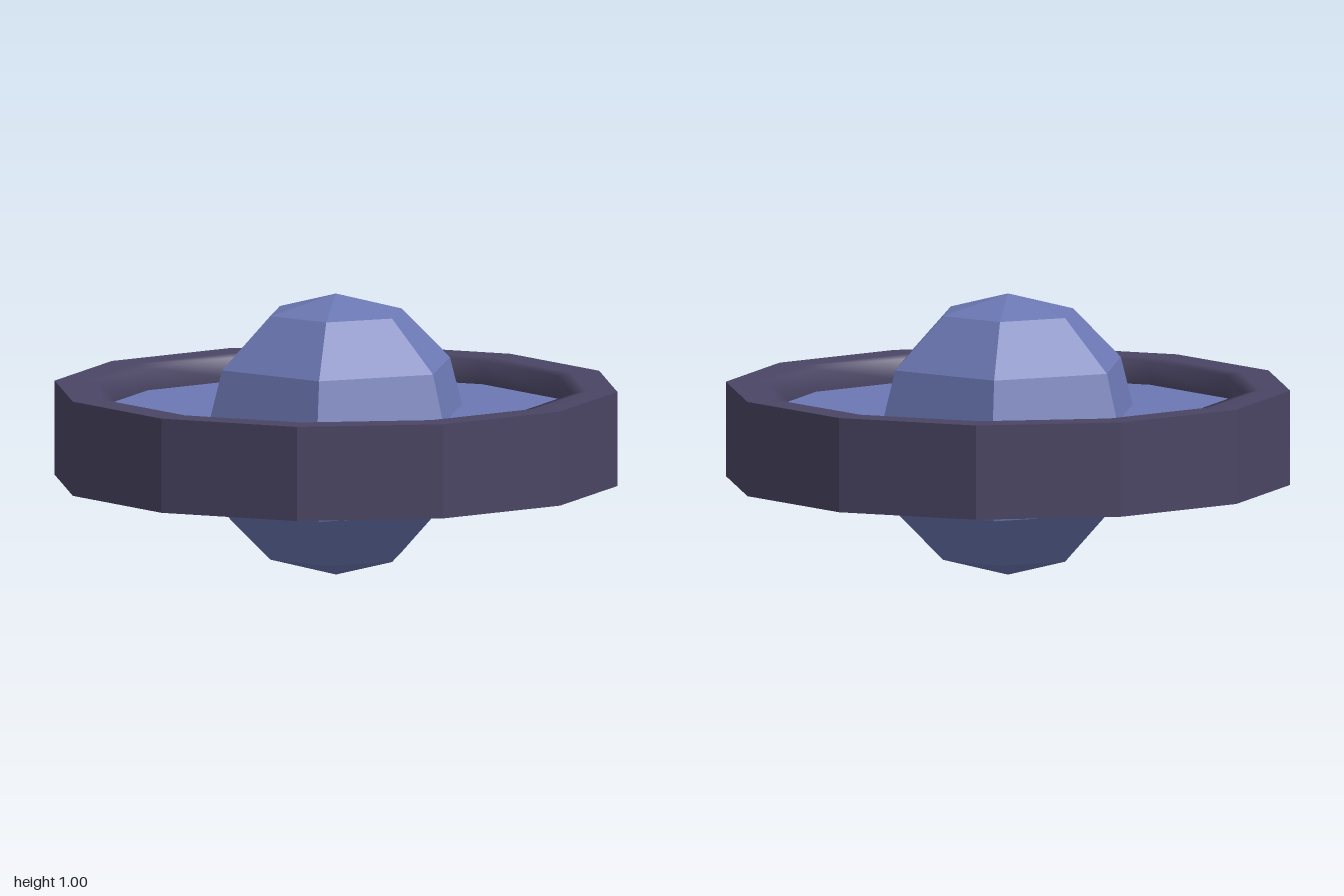
import * as THREE from 'three';

const SIDES = 12;
const BOTTOM = 0.335, TOP = 0.67, FLOOR = 0.58, INNER = 0.84;

export function createModel() {
  const group = new THREE.Group();
  const blue = new THREE.MeshStandardMaterial({ color: 0x6c78b4, flatShading: true });
  const purple = new THREE.MeshStandardMaterial({ color: 0x4a4564, flatShading: true });
  const purpleSmooth = new THREE.MeshStandardMaterial({ color: 0x4a4564 });

  const add = (name, geometry, material, y = 0) => {
    const mesh = new THREE.Mesh(geometry, material);
    mesh.name = name;
    mesh.position.y = y;
    group.add(mesh);
  };
  const lathe = (points) =>
    new THREE.LatheGeometry(points.map(([r, y]) => new THREE.Vector2(r, y)), SIDES);

  // Faceted outer wall and closed underside of the ring
  add('ringShell', lathe([[0, BOTTOM], [1, BOTTOM], [1, TOP]]), purple);

  // Smooth rim that rolls over a slight lip into the recess
  add('ringRim', lathe([[1, TOP], [0.89, TOP], [INNER, TOP - 0.01], [INNER, FLOOR]]), purpleSmooth);

  // Recessed floor
  add('recessFloor', lathe([[INNER, FLOOR], [0, FLOOR]]), blue);

  // Low-poly ball passing through the middle
  add('ball', new THREE.SphereGeometry(0.5, 6, 6), blue, 0.5);

  return group;
}
